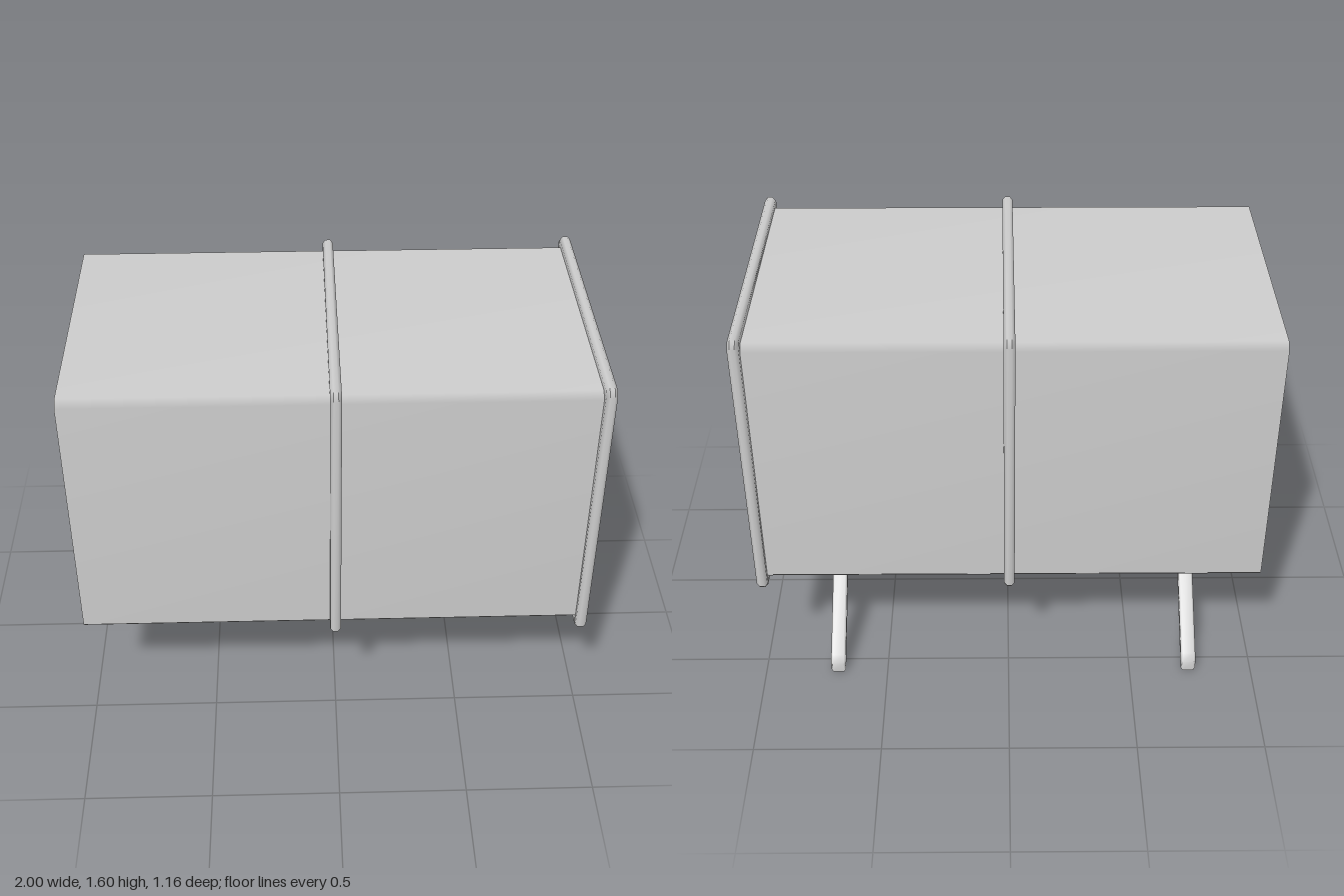
import * as THREE from 'three';

const material = new THREE.MeshStandardMaterial({ color: 0xcccccc });
const CENTRE_Y = 1.025;

// Area-weighted normals: flat faces stay flat, narrow chamfers shade softly
function softenChamfers(geometry) {
  const pos = geometry.attributes.position;
  const faces = [], corners = new Map();
  const v = [0, 1, 2].map(() => new THREE.Vector3());
  const key = (i) => [pos.getX(i), pos.getY(i), pos.getZ(i)].map((n) => Math.round(n * 1e4)).join();
  for (let i = 0; i < pos.count; i += 3) {
    v.forEach((p, k) => p.fromBufferAttribute(pos, i + k));
    const area = v[1].clone().sub(v[0]).cross(v[2].clone().sub(v[0]));
    const face = { area, unit: area.clone().normalize() };
    faces.push(face);
    for (let k = 0; k < 3; k++) {
      if (!corners.has(key(i + k))) corners.set(key(i + k), []);
      corners.get(key(i + k)).push(face);
    }
  }
  const n = new THREE.Vector3();
  for (let i = 0; i < pos.count; i++) {
    const own = faces[Math.floor(i / 3)].unit;
    n.set(0, 0, 0);
    for (const f of corners.get(key(i))) if (f.unit.dot(own) > 0.6) n.add(f.area);
    n.normalize();
    geometry.attributes.normal.setXYZ(i, n.x, n.y, n.z);
  }
  return geometry;
}

// Rectangle with cut corners
function chamferedRect(path, hw, hh, c) {
  const pts = [
    [hw, -hh + c], [hw, hh - c], [hw - c, hh], [-hw + c, hh],
    [-hw, hh - c], [-hw, -hh + c], [-hw + c, -hh], [hw - c, -hh],
  ];
  return path.setFromPoints(pts.map(([x, y]) => new THREE.Vector2(x, y)));
}

// Extrudes a z-y profile along x, from x0 to x1, with bevelled ends
function extrudeAlongX(name, shape, x0, x1, bevel, y = 0) {
  const geometry = new THREE.ExtrudeGeometry(shape, {
    depth: x1 - x0 - 2 * bevel,
    bevelEnabled: bevel > 0,
    bevelThickness: bevel,
    bevelSize: bevel,
    bevelOffset: -bevel,
    bevelSegments: 1,
  });
  geometry.translate(0, 0, bevel).rotateY(-Math.PI / 2).translate(x1, y, 0);
  const mesh = new THREE.Mesh(softenChamfers(geometry), material);
  mesh.name = name;
  return mesh;
}

function frame(outer, innerZ, innerY, chamfer) {
  const shape = chamferedRect(new THREE.Shape(), outer, outer, chamfer);
  shape.holes.push(chamferedRect(new THREE.Path(), innerZ, innerY, 0.022));
  return shape;
}

export function createModel() {
  const model = new THREE.Group();
  model.name = 'squareDuct';

  // Hollow square tube, open at both ends
  model.add(extrudeAlongX('tube', frame(0.545, 0.504, 0.494, 0.025), -1, 0.995, 0, CENTRE_Y));

  // Raised bands around the middle and one end
  for (const [name, x] of [['middleCollar', -0.003], ['endCollar', 0.975]]) {
    model.add(extrudeAlongX(name, frame(0.578, 0.512, 0.507, 0.025), x - 0.021, x + 0.021, 0.012, CENTRE_Y));
  }

  // Slanted struts running back and down from the underside
  const strut = new THREE.Shape([
    [-0.03, 0.5], [-0.55, 0.072], [-0.575, 0.045], [-0.575, 0], [0.025, 0.5],
  ].map(([z, y]) => new THREE.Vector2(z, y)));
  for (const [name, x] of [['rightStrut', -0.742], ['leftStrut', 0.702]]) {
    model.add(extrudeAlongX(name, strut, x - 0.03, x + 0.03, 0.008));
  }
  return model;
}
